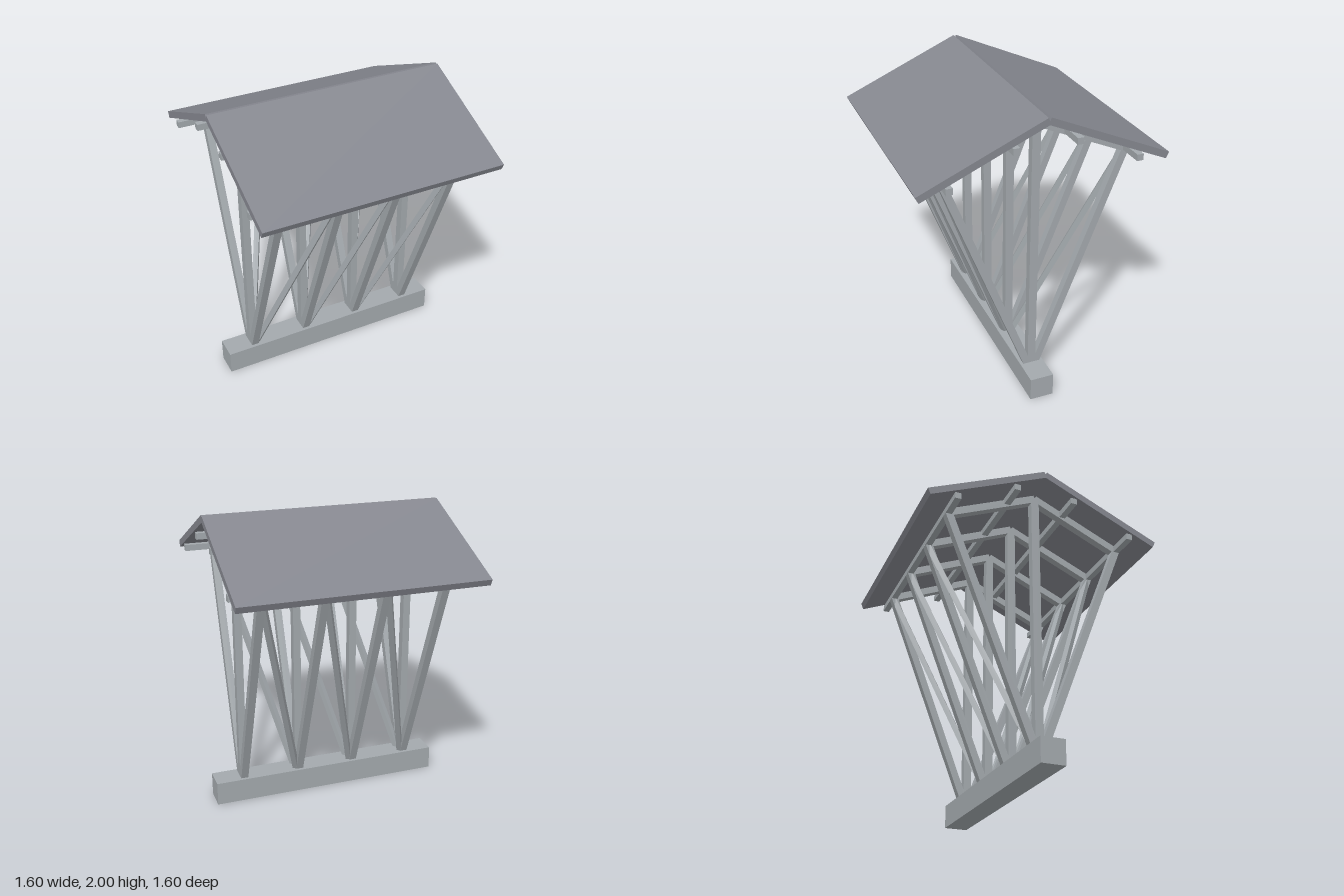
import * as THREE from 'three';

export function createModel() {
  const model = new THREE.Group();
  model.name = 'trussShelter';
  const steel = new THREE.MeshStandardMaterial({ color: 0xa3a9ad });
  steel.name = 'light grey steel';
  const roofing = new THREE.MeshStandardMaterial({ color: 0x85878f });
  roofing.name = 'roof grey';

  const box = (name, w, h, d, x, y, z, material = steel, parent = model) => {
    const mesh = new THREE.Mesh(new THREE.BoxGeometry(w, h, d), material);
    mesh.name = name;
    mesh.position.set(x, y, z);
    parent.add(mesh);
    return mesh;
  };

  // Square bar between two points, one pair of its sides kept upright
  const bar = (name, a, b, size, parent = model) => {
    const from = new THREE.Vector3(...a), to = new THREE.Vector3(...b);
    const mid = from.clone().add(to).multiplyScalar(0.5);
    const mesh = box(name, size, size, from.distanceTo(to), mid.x, mid.y, mid.z, steel, parent);
    mesh.lookAt(to);
    return mesh;
  };

  const length = 1.6;
  const frames = [-0.6, -0.2, 0.2, 0.6];
  const footY = 0.08, eaveY = 1.64, eaveZ = 0.6, ridgeY = 1.903;

  // Foundation beam
  box('baseBeam', length, 0.16, 0.16, 0, 0.08, 0);

  // Frames: centre post, two leaning struts, two rafters
  for (const x of frames) {
    const frame = new THREE.Group();
    frame.name = 'frame';
    model.add(frame);
    box('centrePost', 0.05, 1.84, 0.055, x, 0.99, 0, steel, frame);
    for (const s of [1, -1]) {
      bar('strut', [x, footY, 0], [x, eaveY, s * eaveZ], 0.05, frame);
      bar('rafter', [x, eaveY, s * eaveZ], [x, ridgeY, 0], 0.05, frame);
    }
  }

  for (const s of [1, -1]) {
    // Diagonal braces from each foot to the next eave
    for (let i = 0; i < frames.length - 1; i++) {
      bar('diagonalBrace', [frames[i], footY, 0], [frames[i + 1], eaveY, s * eaveZ], 0.036);
    }

    // Purlins
    box('eavePurlin', length, 0.042, 0.042, 0, 1.65, s * 0.602);
    box('upperPurlin', length, 0.042, 0.042, 0, 1.825, s * 0.2);

    // Roof slopes, meeting in a narrow notch at the ridge
    const run = 0.79, drop = 0.346;
    const panel = box('roofPanel', length, 0.045, Math.hypot(run, drop),
      0, 1.979 - drop / 2, s * run / 2, roofing);
    panel.rotation.x = s * Math.atan2(drop, run);
  }
  return model;
}
